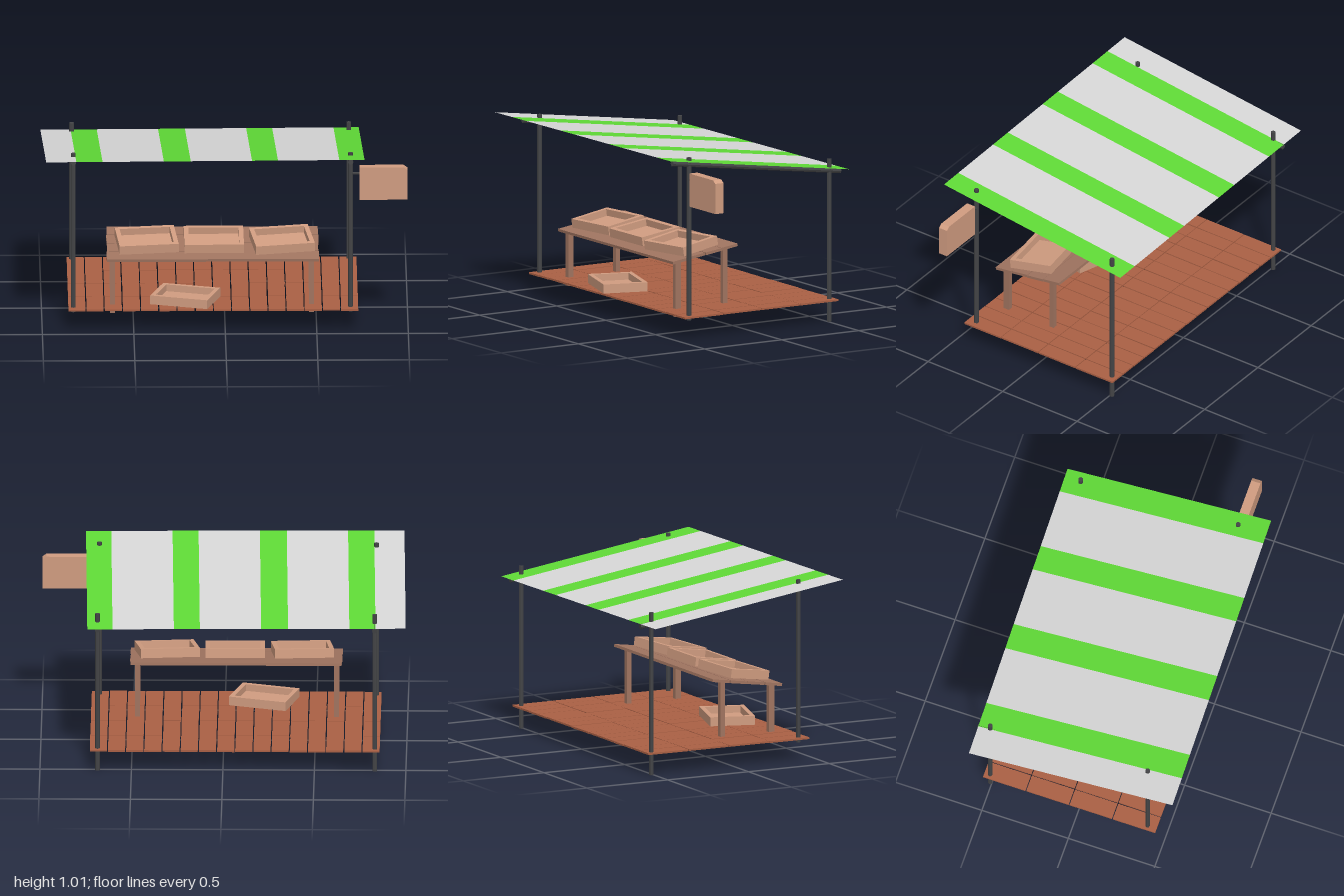
import * as THREE from 'three';

const mat = (name, color, extra = {}) => {
  const m = new THREE.MeshStandardMaterial({ color, ...extra });
  m.name = name;
  return m;
};

export function createModel() {
  const model = new THREE.Group();
  model.name = 'marketStall';
  const metal = mat('dark metal', 0x434446, { flatShading: true });
  const floorWood = mat('red floor wood', 0xaa6044);
  const tableWood = mat('brown table wood', 0xa07460);
  const crateWood = mat('pale crate wood', 0xd09c80);
  const greyCloth = mat('grey cloth', 0xd6d6d6, { side: THREE.DoubleSide });
  const greenCloth = mat('green cloth', 0x5fd936, { side: THREE.DoubleSide });

  const add = (parent, name, geometry, material, x = 0, y = 0, z = 0) => {
    const mesh = new THREE.Mesh(geometry, material);
    mesh.name = name;
    mesh.position.set(x, y, z);
    parent.add(mesh);
    return mesh;
  };
  const box = (parent, name, material, w, h, d, x, y, z) =>
    add(parent, name, new THREE.BoxGeometry(w, h, d), material, x, y, z);

  // Round bar between two points
  const bar = (name, a, b, radius) => {
    const from = new THREE.Vector3(...a), to = new THREE.Vector3(...b);
    const dir = to.clone().sub(from);
    const mesh = add(model, name, new THREE.CylinderGeometry(radius, radius, dir.length(), 8), metal);
    mesh.position.copy(from).add(to).multiplyScalar(0.5);
    mesh.quaternion.setFromUnitVectors(new THREE.Vector3(0, 1, 0), dir.normalize());
  };

  // Seeded jitter between -1 and 1
  let seed = 11;
  const jitter = () => {
    seed = (seed * 16807) % 2147483647;
    return (seed / 2147483647) * 2 - 1;
  };

  // Floor: four rows of sixteen short planks
  const floor = new THREE.Group();
  floor.name = 'floor';
  model.add(floor);
  const step = 1.59 / 16;
  for (let row = 0; row < 4; row++) {
    for (let i = 0; i < 16; i++) {
      const plank = box(floor, 'floorPlank', floorWood, step - 0.006, 0.01, 0.245,
        -0.86 + step * (i + 0.5), 0.122 + jitter() * 0.001, 0.33 - row * 0.25);
      plank.rotation.y = jitter() * 0.008;
    }
  }

  // Posts and sloping roof beams
  for (const x of [-0.83, 0.685]) {
    bar('frontPost', [x, 0.1, 0.4], [x, 1.004, 0.4], 0.013);
    bar('backPost', [x, 0, -0.51], [x, 0.904, -0.51], 0.013);
    bar('roofBeam', [x, 0.981, 0.51], [x, 0.831, -0.58], 0.014);
  }

  // Striped canopy: [start, end] of each strip along the front edge
  const canopy = new THREE.Group();
  canopy.name = 'canopy';
  model.add(canopy);
  const edges = [-0.98, -0.815, -0.672, -0.337, -0.19, 0.145, 0.287, 0.622, 0.76];
  const edgePoint = (x, back) => {
    const t = (x + 0.98) / 1.74;
    return back ? [x - 0.02, 0.845, -0.575 - 0.03 * t] : [x, 1.011, 0.595 - 0.03 * t];
  };
  for (let i = 0; i < edges.length - 1; i++) {
    const [a, b] = [edges[i], edges[i + 1]];
    const g = new THREE.BufferGeometry();
    g.setAttribute('position', new THREE.Float32BufferAttribute(
      [edgePoint(a, false), edgePoint(b, false), edgePoint(b, true), edgePoint(a, true)].flat(), 3));
    g.setIndex([0, 1, 2, 0, 2, 3]);
    g.computeVertexNormals();
    add(canopy, i % 2 ? 'greenStripe' : 'greyStripe', g, i % 2 ? greenCloth : greyCloth);
  }

  // Hanging board with one clipped corner, and its bracket
  const outline = new THREE.Shape();
  outline.moveTo(0.733, 0.742);
  outline.lineTo(0.997, 0.742);
  outline.lineTo(0.997, 0.91);
  outline.lineTo(0.975, 0.926);
  outline.lineTo(0.733, 0.926);
  add(model, 'signBoard', new THREE.ExtrudeGeometry(outline, { depth: 0.053, bevelEnabled: false }),
    crateWood, 0, 0, 0.376);
  bar('signBracket', [0.685, 0.885, 0.4], [0.736, 0.885, 0.4], 0.008);

  // Sloping table of long boards on four legs
  const tilt = 0.14;
  const tabletop = new THREE.Group();
  tabletop.name = 'tabletop';
  tabletop.position.set(-0.067, 0.418, 0.183);
  tabletop.rotation.x = tilt;
  model.add(tabletop);
  for (let i = 0; i < 4; i++) {
    box(tabletop, 'tableBoard', tableWood, 1.16 - 0.006 * (i % 2), 0.015, 0.104,
      0, 0, 0.162 - i * 0.108).rotation.y = jitter() * 0.003;
  }
  for (const x of [-0.615, 0.473]) {
    box(model, 'frontLeg', tableWood, 0.027, 0.315, 0.035, x, 0.238, 0.342);
    box(model, 'backLeg', tableWood, 0.027, 0.31, 0.027, x, 0.278, 0.038);
  }

  // Open crates: [x, y, z, tilt, turn]
  const W = 0.325, D = 0.25, H = 0.05, T = 0.025;
  for (const [x, y, z, rx, ry] of [
    [-0.427, 0.428, 0.21, tilt, 0.1],
    [-0.06, 0.428, 0.205, tilt, 0.01],
    [0.312, 0.428, 0.21, tilt, 0.15],
    [-0.217, 0.128, 0.285, 0, -0.3],
  ]) {
    const crate = new THREE.Group();
    crate.name = 'crate';
    crate.position.set(x, y, z);
    crate.rotation.set(rx, ry, 0);
    model.add(crate);
    box(crate, 'crateBottom', crateWood, W - 2 * T, 0.012, D - 2 * T, 0, 0.006, 0);
    for (const s of [-1, 1]) {
      box(crate, 'crateLongSide', crateWood, W, H, T, 0, H / 2, s * (D - T) / 2);
      box(crate, 'crateShortSide', crateWood, T, H, D - 2 * T, s * (W - T) / 2, H / 2, 0);
    }
  }
  return model;
}
